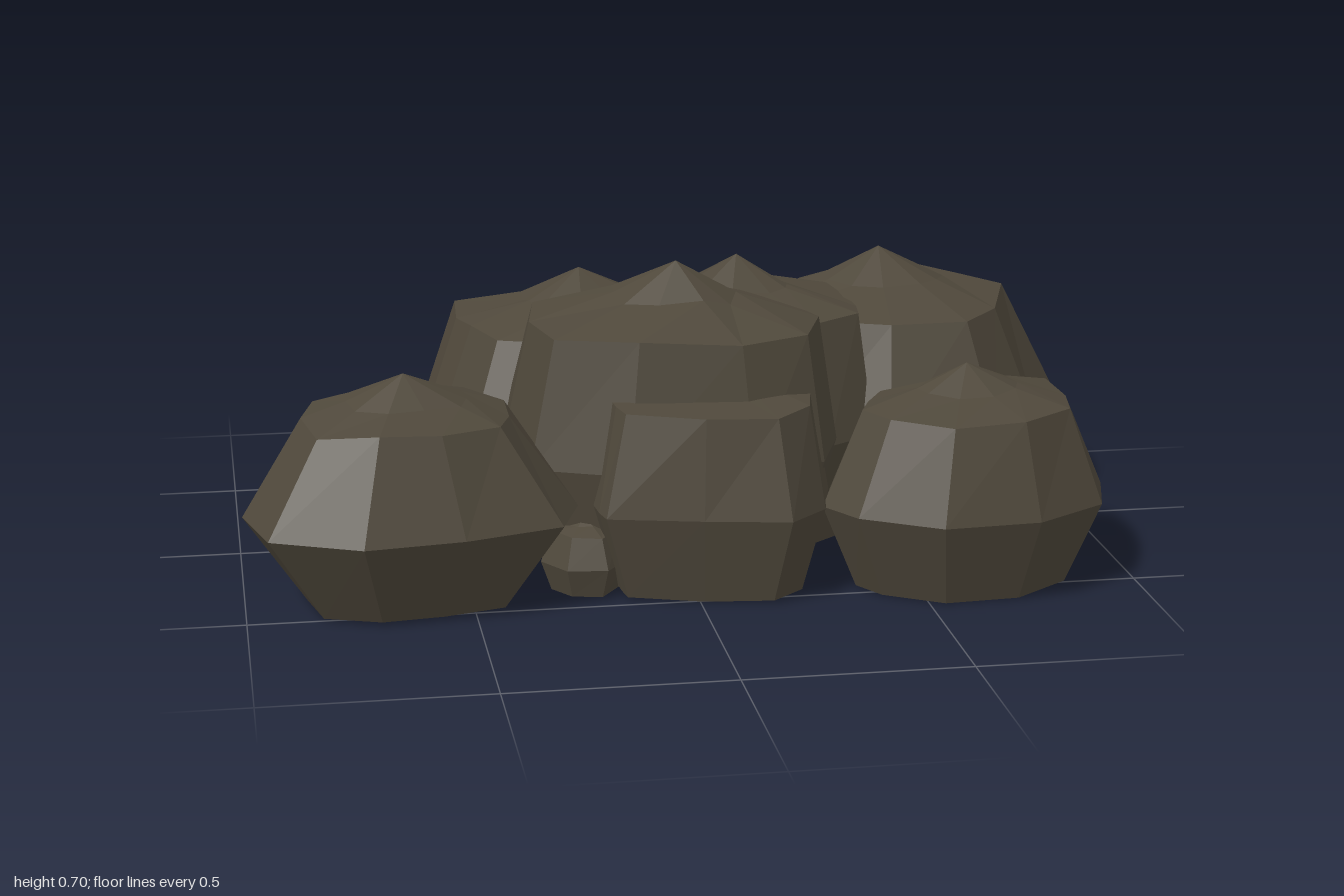
import * as THREE from 'three';

// Small seeded generator for uneven stone rings
function seeded(seed) {
  let s = seed * 7919 + 17;
  return () => (s = (s * 16807) % 2147483647) / 2147483647;
}

// Closed faceted boulder: base, waist, shoulder and crown rings under a pointed peak.
// outline = waist corners [x, z]; levels are fractions of the height;
// top and base = [x scale, z scale] of the shoulder and base rings.
function boulderGeometry({ peak, height, outline, waist = 0.4, shoulder = 0.82, top = [0.76, 0.8], base = [0.76, 0.8] }, seed) {
  const rand = seeded(seed);
  const [px, pz] = peak;
  const ring = outline
    .map(([x, z]) => [x - px, z - pz])
    .sort((a, b) => Math.atan2(a[1], a[0]) - Math.atan2(b[1], b[0]));
  const n = ring.length;
  const pos = [];
  const index = [];
  const levels = [[0.01, base, 0.015], [waist, [1, 1], 0], [shoulder, top, 0.04], [0.89, [0.36, 0.36], 0.03]];
  for (const [y, [sx, sz], wobble] of levels) {
    for (const [x, z] of ring) {
      const k = 1 + (rand() - 0.5) * wobble * 2;
      pos.push(px + x * sx * k, height * (y + (rand() - 0.5) * wobble), pz + z * sz * k);
    }
  }
  pos.push(px, height, pz, px, 0, pz);
  const peakId = 4 * n, floorId = 4 * n + 1;
  for (let i = 0; i < n; i++) {
    const j = (i + 1) % n;
    for (let r = 0; r < 3; r++) {
      const a = r * n + i, b = r * n + j;
      index.push(a, a + n, b, a + n, b + n, b);
    }
    index.push(3 * n + i, peakId, 3 * n + j);
    index.push(i, j, floorId);
  }
  const g = new THREE.BufferGeometry();
  g.setAttribute('position', new THREE.Float32BufferAttribute(pos, 3));
  g.setIndex(index);
  const flat = g.toNonIndexed();
  flat.computeVertexNormals();
  return flat;
}

export function createModel() {
  const group = new THREE.Group();
  group.name = 'rockPile';
  const stone = new THREE.MeshStandardMaterial({ color: 0x4f483b, flatShading: true });
  stone.name = 'darkStone';

  const rocks = {
    centreBoulder: {
      peak: [0, 0.16], height: 0.7, shoulder: 0.81, top: [0.84, 0.9], base: [0.8, 0.85],
      outline: [[-0.36, 0.36], [-0.15, 0.45], [0.13, 0.47], [0.3, 0.4], [0.38, 0.18],
        [0.32, -0.05], [0.12, -0.15], [-0.12, -0.16], [-0.38, -0.05], [-0.4, 0.15]],
    },
    leftBoulder: {
      peak: [0.55, -0.18], height: 0.64, top: [0.7, 0.8], base: [0.76, 0.85],
      outline: [[1, -0.17], [0.89, 0.05], [0.76, 0.19], [0.5, 0.2], [0.3, 0.12], [0.2, -0.1],
        [0.22, -0.3], [0.35, -0.47], [0.5, -0.52], [0.68, -0.49], [0.88, -0.36]],
    },
    frontLeftRock: {
      peak: [0.62, 0.41], height: 0.5, top: [0.74, 0.82], base: [0.76, 0.7],
      outline: [[0.28, 0.48], [0.33, 0.33], [0.4, 0.23], [0.55, 0.18], [0.75, 0.18], [0.92, 0.23],
        [0.945, 0.4], [0.9, 0.56], [0.73, 0.67], [0.51, 0.685], [0.34, 0.58]],
    },
    frontRightRock: {
      peak: [-0.64, 0.38], height: 0.52, top: [0.62, 0.72], base: [0.62, 0.62],
      outline: [[-1, 0.38], [-0.95, 0.2], [-0.78, 0.1], [-0.6, 0.08], [-0.4, 0.12], [-0.28, 0.28],
        [-0.26, 0.41], [-0.31, 0.56], [-0.53, 0.63], [-0.75, 0.66], [-0.95, 0.57]],
    },
    backRightBoulder: {
      peak: [-0.17, -0.24], height: 0.6, top: [0.76, 0.8], base: [0.78, 0.78],
      outline: [[-0.55, -0.22], [-0.53, -0.45], [-0.3, -0.5], [-0.05, -0.55], [0.1, -0.48],
        [0.22, -0.3], [0.22, -0.1], [0.05, 0.08], [-0.2, 0.12], [-0.47, 0.05], [-0.53, -0.1]],
    },
    backLeftRock: {
      peak: [0.31, -0.44], height: 0.45, waist: 0.38, shoulder: 0.76, top: [0.65, 0.58], base: [0.68, 0.58],
      outline: [[0.08, -0.52], [0.22, -0.69], [0.42, -0.64], [0.6, -0.59], [0.64, -0.48],
        [0.55, -0.3], [0.35, -0.22], [0.15, -0.28], [0.06, -0.42]],
    },
    frontRock: {
      peak: [0.05, 0.3], height: 0.51, shoulder: 0.86, top: [0.84, 0.88], base: [0.8, 0.82],
      outline: [[-0.22, 0.46], [-0.21, 0.51], [0, 0.56], [0.19, 0.595], [0.28, 0.51], [0.32, 0.35],
        [0.2, 0.1], [0, 0.08], [-0.24, 0.2]],
    },
    innerRock: {
      peak: [0.18, -0.06], height: 0.66, shoulder: 0.83, top: [0.88, 0.85],
      outline: [[0.5, 0.05], [0.47, 0.15], [0.35, 0.23], [0.1, 0.25], [-0.12, 0.15], [-0.18, -0.1],
        [-0.05, -0.28], [0.15, -0.36], [0.35, -0.32], [0.47, -0.16]],
    },
    outerPebble: {
      peak: [-0.72, -0.28], height: 0.27, top: [0.72, 0.72], base: [0.7, 0.7],
      outline: [[-0.885, -0.25], [-0.875, -0.35], [-0.79, -0.425], [-0.66, -0.42], [-0.56, -0.37],
        [-0.55, -0.2], [-0.66, -0.16], [-0.78, -0.135]],
    },
    sidePebble: {
      peak: [-0.6, -0.02], height: 0.3,
      outline: [[-0.715, 0.06], [-0.715, -0.08], [-0.62, -0.15], [-0.5, -0.13], [-0.44, -0.02],
        [-0.48, 0.1], [-0.6, 0.14]],
    },
    frontPebble: {
      peak: [-0.24, 0.36], height: 0.17,
      outline: [[-0.34, 0.37], [-0.29, 0.45], [-0.2, 0.46], [-0.14, 0.38], [-0.16, 0.29],
        [-0.24, 0.26], [-0.32, 0.3]],
    },
  };

  Object.entries(rocks).forEach(([name, spec], i) => {
    const mesh = new THREE.Mesh(boulderGeometry(spec, i + 1), stone);
    mesh.name = name;
    group.add(mesh);
  });
  return group;
}
